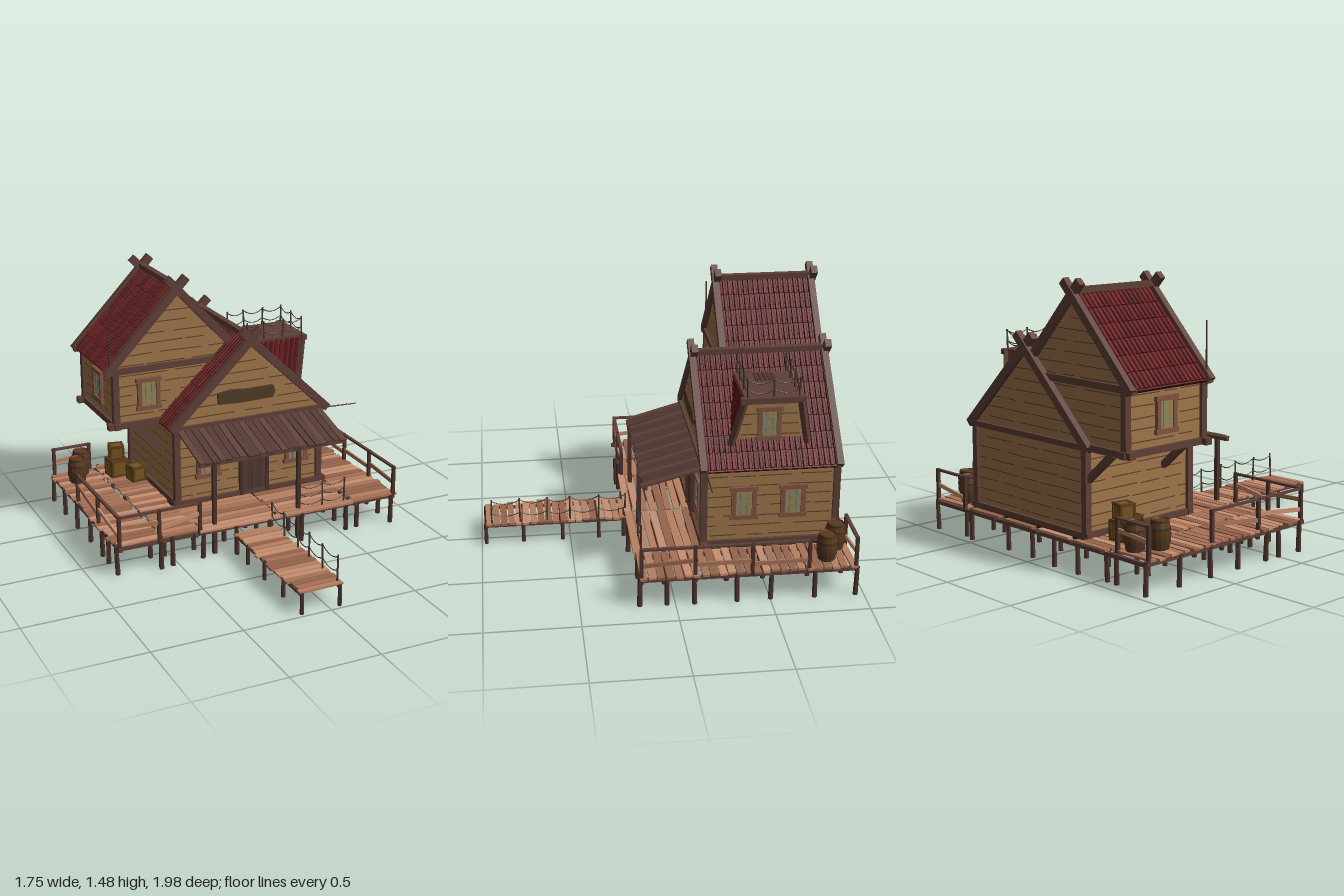
import * as THREE from 'three';
import { ConvexGeometry } from 'three/addons/geometries/ConvexGeometry.js';

const mats = {};
const mat = (c) => (mats[c] ??= new THREE.MeshStandardMaterial({ color: c, flatShading: true, side: THREE.DoubleSide }));
const V = (x, y, z) => new THREE.Vector3(x, y, z);
const BEAM = 0x5f3f37, PILE = 0x4c322c, WALL = 0x9d7549, SEAM = 0x5c4028, ROPE = 0x4a3c34, FRAME = 0x7f5341;
const DECK = [0xb98062, 0xc88f70, 0xa87256, 0x96644c];
const RED = [0x5a1113, 0x661517, 0x521012];

let seed = 7;
const rnd = () => (seed = (seed * 16807) % 2147483647) / 2147483647;
const jit = (a) => (rnd() - 0.5) * 2 * a;
const pick = (list) => list[Math.floor(rnd() * list.length)];

function add(parent, name, geo, color) {
  const m = new THREE.Mesh(geo, mat(color));
  m.name = name;
  parent.add(m);
  return m;
}
function box(parent, name, w, h, d, x, y, z, color) {
  const m = add(parent, name, new THREE.BoxGeometry(w, h, d), color);
  m.position.set(x, y, z);
  return m;
}
// square timber from a to b
function beam(parent, name, a, b, w, h, color = BEAM) {
  const m = add(parent, name, new THREE.BoxGeometry(w, h, a.distanceTo(b)), color);
  m.position.copy(a).add(b).multiplyScalar(0.5);
  m.lookAt(b);
  return m;
}
// round pole from a to b
function pole(parent, name, a, b, r0, r1, color, sides = 6) {
  const m = add(parent, name, new THREE.CylinderGeometry(r1, r0, a.distanceTo(b), sides), color);
  m.position.copy(a).add(b).multiplyScalar(0.5);
  m.quaternion.setFromUnitVectors(V(0, 1, 0), b.clone().sub(a).normalize());
  return m;
}
function prism(parent, name, pts, z0, z1, color) {
  const s = new THREE.Shape(pts.map(([x, y]) => new THREE.Vector2(x, y)));
  const m = add(parent, name, new THREE.ExtrudeGeometry(s, { depth: z1 - z0, bevelEnabled: false }), color);
  m.position.z = z0;
}
// slab with rows of overlapping rounded tiles running down the slope
function roofSlope(parent, [rx, ry], [ex, ey], z0, z1) {
  const a = V(rx, ry, 0), b = V(ex, ey, 0), zm = (z0 + z1) / 2;
  beam(parent, 'roofSlab', V(rx, ry, zm), V(ex, ey, zm), z1 - z0, 0.02, RED[2]);
  const n = Math.round((z1 - z0) / 0.029), rows = Math.ceil(a.distanceTo(b) / 0.11);
  for (let i = 0; i < n; i++) for (let k = 0; k < rows; k++) {
    const p = a.clone().lerp(b, k / rows), q = a.clone().lerp(b, (k + 1) / rows);
    p.z = q.z = z0 + ((i + 0.5) * (z1 - z0)) / n;
    p.y += 0.009; q.y += 0.011;
    pole(parent, 'roofTile', p, q, 0.011, 0.014, pick(RED));
  }
}
// crossed rafters on both gable ends, with ridge beam
function gableTimbers(parent, [ax, ay], left, right, z0, z1) {
  for (const z of [z0, z1]) [left, right].forEach(([x, y], i) => {
    const e = V(x, y, z + (i ? 0.004 : -0.004)), top = V(ax, ay, e.z);
    const over = top.clone().add(top.clone().sub(e).normalize().multiplyScalar(0.085));
    beam(parent, 'rafter', e, over, 0.035, 0.045);
  });
  beam(parent, 'ridgeBeam', V(ax, ay + 0.015, z0), V(ax, ay + 0.015, z1), 0.035, 0.03);
}
// dark plank seams on a wall whose half-extents depend on height
function seams(parent, y0, y1, range, place) {
  for (let y = y0; y < y1; y += 0.058) {
    const [a, b] = range(y);
    for (let s = a + 0.01; s < b - 0.04;) {
      const e = Math.min(b, s + 0.08 + rnd() * 0.25);
      beam(parent, 'plankSeam', place(s, y + jit(0.003)), place(e, y + jit(0.003)), 0.006, 0.005, SEAM);
      s = e + 0.01 + rnd() * 0.06;
    }
  }
}
function windowUnit(parent, x, y, z, w, h, ry = 0) {
  const g = new THREE.Group();
  g.name = 'window';
  g.position.set(x, y, z);
  g.rotation.y = ry;
  box(g, 'pane', w, h, 0.012, 0, 0, 0, 0x9a8350);
  for (const s of [-1, 1]) {
    box(g, 'frameSide', 0.024, h + 0.02, 0.03, s * w / 2, 0, 0, FRAME);
    box(g, 'frameEnd', w + 0.04, 0.024, 0.034, 0, s * h / 2, 0, FRAME);
    box(g, 'leadUpright', 0.006, h, 0.018, s * w / 6, 0, 0, 0x66807a);
    box(g, 'leadBar', w, 0.006, 0.018, 0, s * h / 6, 0, 0x66807a);
  }
  parent.add(g);
}
function ropeFence(parent, pts, h, ropes) {
  pts.forEach((p, i) => {
    pole(parent, 'fencePost', p, V(p.x + jit(0.005), p.y + h, p.z + jit(0.005)), 0.006, 0.005, ROPE, 5);
    if (!i) return;
    for (let k = 1; k <= ropes; k++) {
      const a = pts[i - 1].clone(), b = p.clone();
      a.y += h * k / ropes - 0.008; b.y += h * k / ropes - 0.008;
      const mid = a.clone().lerp(b, 0.5);
      mid.y -= 0.045;
      add(parent, 'rope', new THREE.TubeGeometry(new THREE.QuadraticBezierCurve3(a, mid, b), 8, 0.003, 4), ROPE);
    }
  });
}
// loose boards lying along x, stacked in z
function boards(parent, x0, x1, z0, z1, y, pitch = 0.046) {
  for (let z = z0 + pitch / 2; z < z1; z += pitch) {
    const m = box(parent, 'deckBoard', x1 - x0 + jit(0.02), 0.012, pitch * (0.75 + rnd() * 0.15),
      (x0 + x1) / 2 + jit(0.008), y + jit(0.002), z, pick(DECK));
    m.rotation.y = jit(0.03);
  }
}
function railing(parent, pts) {
  pts.forEach((p, i) => {
    beam(parent, 'railPost', V(p.x, 0.15, p.z), V(p.x, 0.345, p.z), 0.018, 0.018, PILE);
    if (!i) return;
    const q = pts[i - 1];
    beam(parent, 'topRail', V(q.x, 0.338, q.z), V(p.x, 0.338, p.z), 0.018, 0.012, BEAM);
    beam(parent, 'crookedRail', V(q.x, 0.25 + jit(0.035), q.z), V(p.x, 0.25 + jit(0.035), p.z), 0.01, 0.022, pick(DECK));
  });
}
function barrel(parent, x, z) {
  const g = new THREE.Group();
  g.name = 'barrel';
  g.position.set(x, 0.18, z);
  const prof = [[0, 0], [0.044, 0], [0.054, 0.045], [0.056, 0.075], [0.054, 0.105], [0.044, 0.15], [0.04, 0.142], [0, 0.142]];
  add(g, 'staves', new THREE.LatheGeometry(prof.map(([r, y]) => new THREE.Vector2(r, y)), 14), 0x5a3719);
  for (const [y, r] of [[0.012, 0.048], [0.045, 0.055], [0.105, 0.055], [0.14, 0.047]])
    add(g, 'hoop', new THREE.CylinderGeometry(r, r, 0.011, 14, 1, true), 0x3b342f).position.y = y;
  parent.add(g);
}
function crate(parent, x, y, z, s, ry) {
  const g = new THREE.Group();
  g.name = 'crate';
  g.position.set(x, y + s / 2, z);
  g.rotation.y = ry;
  box(g, 'crateBody', s * 0.92, s * 0.92, s * 0.92, 0, 0, 0, 0x76521f);
  const h = s / 2 - 0.006;
  for (const a of [-h, h]) for (const b of [-h, h]) {
    box(g, 'crateEdge', s, 0.014, 0.014, 0, a, b, 0x5b3e18);
    box(g, 'crateEdge', 0.014, s, 0.014, a, 0, b, 0x5b3e18);
    box(g, 'crateEdge', 0.014, 0.014, s, a, b, 0, 0x5b3e18);
  }
  parent.add(g);
}

export function createModel() {
  const root = new THREE.Group();
  const part = (name) => { const g = new THREE.Group(); g.name = name; root.add(g); return g; };

  // main house
  const house = part('mainHouse');
  prism(house, 'houseBody', [[-0.355, 0.18], [0.545, 0.18], [0.545, 0.65], [0.1, 1.08], [-0.355, 0.65]], -0.9, -0.185, WALL);
  box(house, 'underFloor', 0.93, 0.02, 0.75, 0.095, 0.17, -0.54, 0x33211d);
  const mainRange = (y) => y < 0.65 ? [-0.35, 0.54] : [-0.35 + (y - 0.65) * 1.05, 0.54 - (y - 0.65) * 1.03];
  for (const z of [-0.185, -0.9]) {
    seams(house, 0.23, 1.03, mainRange, (s, y) => V(s, y, z));
    for (const y of [0.19, 0.64]) beam(house, 'crossBeam', V(-0.38, y, z), V(0.59, y, z), 0.035, 0.03);
  }
  for (const x of [-0.355, 0.545]) {
    seams(house, 0.23, 0.64, () => [-0.88, -0.2], (s, y) => V(x, y, s));
    for (const z of [-0.185, -0.9]) box(house, 'cornerPost', 0.036, 0.47, 0.036, x, 0.405, z, BEAM);
    beam(house, 'sill', V(x, 0.19, -0.92), V(x, 0.19, -0.17), 0.035, 0.035);
  }
  roofSlope(house, [0.1, 1.09], [0.585, 0.625], -0.905, -0.18);
  roofSlope(house, [0.1, 1.09], [-0.385, 0.625], -0.905, -0.18);
  gableTimbers(house, [0.105, 1.105], [-0.385, 0.635], [0.595, 0.635], -0.908, -0.18);

  // upper wing overhanging to the left
  const wing = part('upperWing');
  prism(wing, 'wingBody', [[-0.64, 0.645], [0.05, 0.645], [0.05, 1.05], [-0.265, 1.375], [-0.64, 0.97]], -0.89, -0.37, WALL);
  const wingRange = (y) => y < 0.97 ? [-0.64, 0.0] : [-0.64 + (y - 0.97) * 0.95, Math.min(0.04, 0.11 - (y - 0.97) * 0.95)];
  for (const z of [-0.37, -0.89]) {
    seams(wing, 0.7, 1.33, wingRange, (s, y) => V(s, y, z));
    beam(wing, 'eaveCrossBeam', V(-0.7, 0.965, z), V(-0.02, 0.965, z), 0.035, 0.035);
    beam(wing, 'floorBeam', V(-0.69, 0.645, z), V(-0.33, 0.645, z), 0.04, 0.035);
    box(wing, 'cornerPost', 0.036, 0.33, 0.036, -0.64, 0.81, z, BEAM);
    beam(wing, 'brace', V(-0.55, 0.635, z), V(-0.355, 0.47, z), 0.03, 0.035);
  }
  seams(wing, 0.7, 0.95, () => [-0.87, -0.39], (s, y) => V(-0.64, y, s));
  beam(wing, 'sideBeam', V(-0.64, 0.645, -0.92), V(-0.64, 0.645, -0.34), 0.035, 0.035);
  roofSlope(wing, [-0.265, 1.385], [-0.685, 0.955], -0.9, -0.36);
  roofSlope(wing, [-0.265, 1.385], [0.06, 1.05], -0.9, -0.36);
  gableTimbers(wing, [-0.265, 1.4], [-0.695, 0.955], [0.05, 1.06], -0.9, -0.36);
  pole(wing, 'mast', V(-0.67, 0.93, -0.37), V(-0.67, 1.26, -0.37), 0.006, 0.004, PILE);
  pole(house, 'sidePole', V(0.55, 0.63, -0.19), V(0.8, 0.62, -0.19), 0.005, 0.003, PILE);

  // windows, door and sign
  const fit = part('openings');
  windowUnit(fit, -0.165, 0.42, -0.18, 0.12, 0.165);
  windowUnit(fit, 0.395, 0.42, -0.18, 0.12, 0.165);
  windowUnit(fit, -0.445, 0.815, -0.365, 0.11, 0.165);
  for (const z of [-0.4, -0.665]) windowUnit(fit, 0.55, 0.425, z, 0.11, 0.165, Math.PI / 2);
  windowUnit(fit, -0.645, 0.815, -0.63, 0.11, 0.165, -Math.PI / 2);
  for (let i = 0; i < 5; i++) box(fit, 'doorPlank', 0.029, 0.29, 0.02, 0.065 + i * 0.03, 0.335, -0.178, i % 2 ? 0x49342d : 0x523a31);
  for (const x of [0.04, 0.205]) box(fit, 'doorJamb', 0.018, 0.31, 0.03, x, 0.335, -0.175, PILE);
  box(fit, 'doorLintel', 0.185, 0.02, 0.032, 0.1225, 0.49, -0.175, PILE);
  prism(fit, 'blankSign', [[-0.1, 0.755], [0.03, 0.748], [0.24, 0.752], [0.255, 0.79], [0.24, 0.825], [0.08, 0.823], [-0.02, 0.832], [-0.105, 0.82]], -0.182, -0.165, 0x4d3a24);

  // dormer with flat lookout deck
  const dormer = part('dormer');
  for (const [zb, zt] of [[-0.335, -0.395], [-0.745, -0.69]]) {
    const bot = V(0.485, 0.735, zb), top = V(0.545, 1.01, zt), back = V(0.17, 1.01, zt);
    const g = new THREE.BufferGeometry().setFromPoints([bot, top, back]);
    g.computeVertexNormals();
    add(dormer, 'dormerSide', g, RED[0]);
    for (let i = 1; i < 11; i++) pole(dormer, 'sideTile', bot.clone().lerp(back, i / 11), top.clone().lerp(back, i / 11), 0.011, 0.011, pick(RED));
    beam(dormer, 'dormerPost', bot, top, 0.03, 0.03);
  }
  const face = [];
  for (const x of [0.2, 0.465]) face.push(V(x, 0.72, -0.35), V(x, 0.72, -0.73), V(x, 1.0, -0.4), V(x, 1.0, -0.685));
  add(dormer, 'dormerWall', new ConvexGeometry(face), WALL);
  seams(dormer, 0.78, 0.99, (y) => [-0.72 + (y - 0.74) * 0.13, -0.36 - (y - 0.74) * 0.13], (s, y) => V(0.465, y, s));
  windowUnit(dormer, 0.47, 0.845, -0.54, 0.1, 0.165, Math.PI / 2);
  box(dormer, 'lookoutDeck', 0.38, 0.025, 0.3, 0.365, 1.012, -0.543, BEAM);
  beam(dormer, 'dormerLintel', V(0.548, 1.01, -0.37), V(0.548, 1.01, -0.715), 0.03, 0.03);
  for (let i = 0; i < 5; i++) box(dormer, 'hatchSlat', 0.1, 0.008, 0.014, 0.27, 1.028, -0.59 + i * 0.023, PILE);
  const loop = [[0.19, -0.41], [0.3, -0.41], [0.42, -0.41], [0.545, -0.41], [0.545, -0.545], [0.545, -0.68], [0.42, -0.68], [0.3, -0.68], [0.19, -0.68]];
  ropeFence(dormer, loop.map(([x, z]) => V(x, 1.02, z)), 0.11, 2);

  // porch awning
  const porch = part('porch');
  for (let i = 0; i < 22; i++) {
    const x = -0.335 + i * 0.0415, e = 0.14 + jit(0.012);
    beam(porch, 'awningPlank', V(x, 0.63, -0.17), V(x + jit(0.006), 0.545, e), 0.037, 0.012, i % 3 ? 0x553a34 : 0x604239);
  }
  beam(porch, 'awningBeam', V(-0.35, 0.535, 0.125), V(0.55, 0.535, 0.125), 0.02, 0.02);
  for (const x of [-0.265, 0.255]) beam(porch, 'porchPost', V(x, 0, 0.13), V(x, 0.54, 0.13), 0.022, 0.022, PILE);
  ropeFence(porch, [V(0.26, 0.17, 0.14), V(0.4, 0.17, 0.15), V(0.54, 0.17, 0.15)], 0.15, 3);

  // deck around the house and pier
  const deck = part('deck');
  boards(deck, -0.86, -0.595, -0.94, 0.18, 0.172);
  boards(deck, -0.575, -0.37, -0.94, 0.18, 0.172);
  boards(deck, 0.585, 0.86, -0.96, 0.2, 0.172);
  boards(deck, -0.37, 0.1, -0.17, 0.2, 0.172);
  boards(deck, 0.11, 0.575, -0.17, 0.2, 0.172);
  for (let x = -0.57; x < 0.5; x += 0.28) boards(deck, x, x + 0.25, -0.97, -0.93, 0.172, 0.04);
  boards(deck, -0.175, 0.08, 0.18, 0.99, 0.122, 0.042);
  for (const x of [-0.84, -0.61, -0.4, 0.6, 0.84]) beam(deck, 'joist', V(x, 0.155, -0.96), V(x, 0.155, 0.19), 0.02, 0.02, BEAM);
  for (const z of [-0.95, 0.16, -0.05]) beam(deck, 'crossJoist', V(-0.85, 0.153, z), V(0.85, 0.153, z), 0.02, 0.02, BEAM);
  for (const x of [-0.16, 0.06]) {
    beam(deck, 'pierJoist', V(x, 0.108, 0.18), V(x, 0.108, 0.98), 0.014, 0.016, BEAM);
    for (const z of [0.2, 0.34, 0.545, 0.765, 0.975]) pole(deck, 'pierLeg', V(x, 0, z), V(x, 0.12, z), 0.011, 0.01, PILE);
  }
  ropeFence(deck, [0.19, 0.34, 0.5, 0.63, 0.78, 0.94].map((z) => V(0.062, 0.12, z)), 0.15, 2);
  for (const x of [-0.84, -0.61, -0.54, -0.35, -0.16, 0.04, 0.24, 0.54, 0.62, 0.84])
    for (const z of [-0.93, -0.73, -0.52, -0.32, -0.12, 0.02, 0.17]) {
      const px = x + jit(0.008), pz = z + jit(0.025);
      pole(deck, 'pile', V(px, 0, pz), V(px + jit(0.006), 0.17, pz + jit(0.006)), 0.014, 0.012, PILE);
    }
  for (const x of [-0.55, -0.32, -0.05, 0.3]) beam(deck, 'rearStake', V(x, 0.165, -0.9), V(x, 0.165, -0.99), 0.014, 0.014, PILE);

  // railings
  const rails = part('railings');
  railing(rails, [[-0.84, -0.5], [-0.84, -0.16], [-0.84, 0.17], [-0.61, 0.17], [-0.37, 0.17]].map(([x, z]) => V(x, 0, z)));
  railing(rails, [[-0.84, -0.93], [-0.62, -0.93]].map(([x, z]) => V(x, 0, z)));
  railing(rails, [[0.6, -0.95], [0.85, -0.95]].map(([x, z]) => V(x, 0, z)));
  railing(rails, [[0.85, 0.18], [0.85, -0.1], [0.85, -0.4], [0.85, -0.7]].map(([x, z]) => V(x, 0, z)));

  // cargo
  const cargo = part('cargo');
  for (const [x, z] of [[-0.75, -0.77], [-0.69, -0.88], [0.65, -0.88], [0.765, -0.81]]) barrel(cargo, x, z);
  crate(cargo, -0.5, 0.178, -0.78, 0.105, 0.1);
  crate(cargo, -0.5, 0.283, -0.78, 0.085, -0.2);
  crate(cargo, -0.42, 0.178, -0.66, 0.09, 0.15);
  return root;
}
